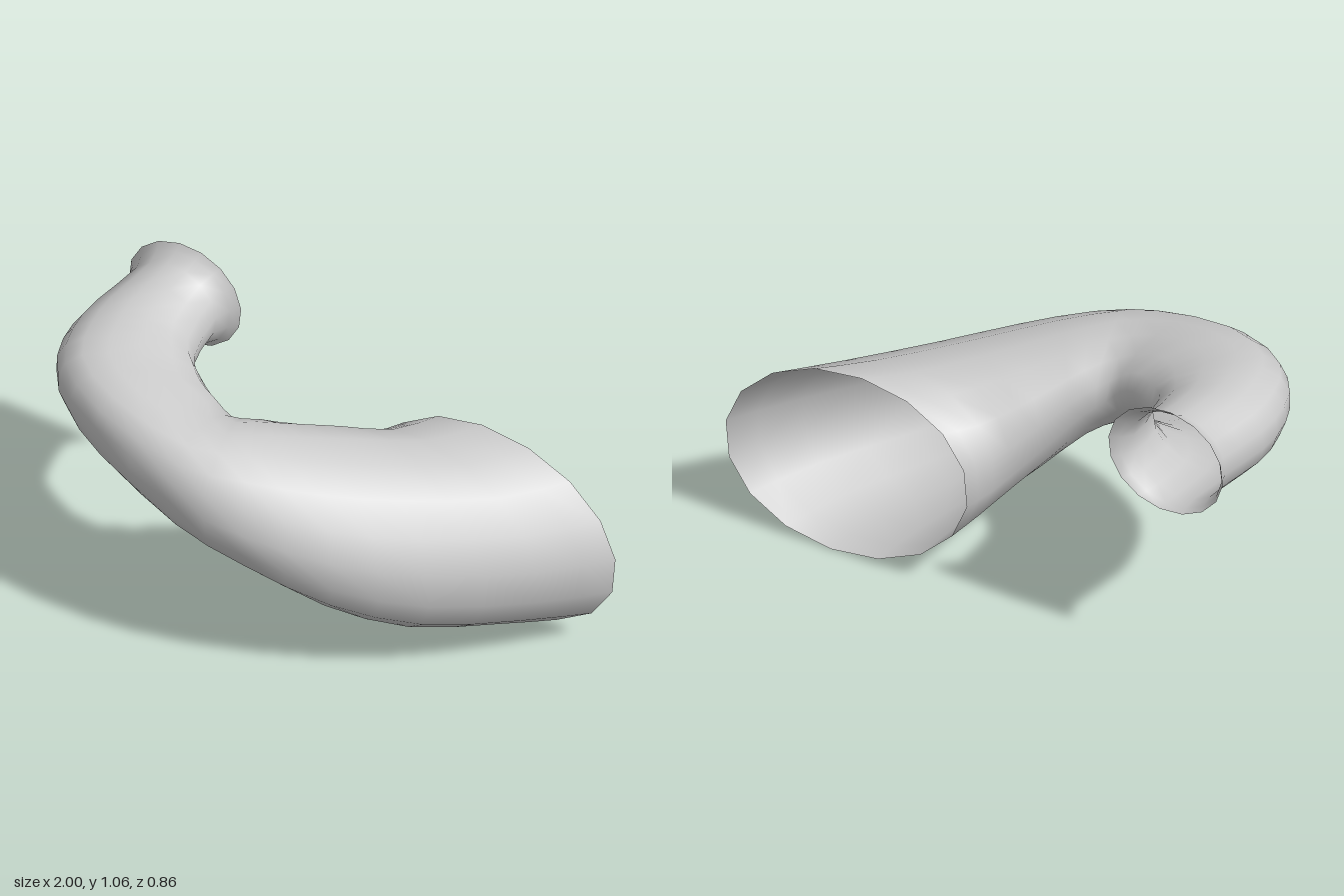
import * as THREE from 'three';

// Key cross-sections along the bend:
// inner x, inner z, outer x, outer z, top y, bottom y,
// lean (top shifts outward), tilt (outer edge rises), bulge (top and bottom shift outward)
const SECTIONS = [
  [-0.54, -0.43, -1.0, -0.43, 1.06, 0.635, 0.1, -0.025, 0.0],
  [-0.60, -0.36, -0.97, -0.36, 1.01, 0.66, 0.08, -0.02, 0.0],
  [-0.57, -0.17, -1.0, -0.14, 0.99, 0.64, 0.08, -0.01, 0.05],
  [-0.50, -0.10, -0.985, 0.04, 0.98, 0.63, 0.1, 0, 0.1],
  [-0.42, -0.05, -0.89, 0.21, 0.965, 0.61, 0.15, 0, 0.2],
  [-0.36, -0.035, -0.66, 0.35, 0.94, 0.575, 0.15, 0, 0.2],
  [-0.30, -0.03, -0.30, 0.43, 0.88, 0.50, 0, 0, 0.18],
  [-0.23, -0.07, -0.02, 0.40, 0.855, 0.41, -0.18, 0, 0.05],
  [-0.15, -0.14, 0.27, 0.27, 0.82, 0.255, -0.27, 0, 0],
  [-0.08, -0.23, 0.54, 0.07, 0.785, 0.135, -0.27, 0, 0],
  [-0.02, -0.33, 0.82, -0.20, 0.75, 0.065, -0.18, 0.01, 0],
  [0.03, -0.43, 1.0, -0.43, 0.77, 0.0, -0.13, 0.015, 0.0],
];
const SIDES = 16;
const STEPS = 2;

// Add smooth in-between sections
function refine(keys, steps) {
  const rows = [];
  const last = keys.length - 1;
  for (let n = 0; n <= last * steps; n++) {
    const i = Math.min(Math.floor(n / steps), last - 1);
    const t = n / steps - i;
    const a = keys[Math.max(i - 1, 0)], b = keys[i];
    const c = keys[i + 1], d = keys[Math.min(i + 2, last)];
    rows.push(b.map((v, k) => v + 0.5 * t * (c[k] - a[k]
      + t * (2 * a[k] - 5 * v + 4 * c[k] - d[k]
      + t * (3 * (v - c[k]) + d[k] - a[k])))));
  }
  return rows;
}

// Skin a row of upright rounded rings into an open tube
function loftTube(sections, sides) {
  const positions = [];
  const indices = [];
  sections.forEach(([ix, iz, ox, oz, top, bottom, lean, tilt, bulge], i) => {
    for (let j = 0; j < sides; j++) {
      const a = (j / sides) * Math.PI * 2;
      const c = Math.cos(a), s = Math.sin(a);
      const across = (c + lean * s + bulge * s * s) / 2;
      positions.push(
        (ix + ox) / 2 + across * (ox - ix),
        (top + bottom) / 2 + (s * (top - bottom)) / 2 + tilt * c,
        (iz + oz) / 2 + across * (oz - iz)
      );
      if (i === sections.length - 1) continue;
      const next = (j + 1) % sides;
      const p = i * sides + j, q = i * sides + next;
      indices.push(p, p + sides, q, q, p + sides, q + sides);
    }
  });
  const geometry = new THREE.BufferGeometry();
  geometry.setAttribute('position', new THREE.Float32BufferAttribute(positions, 3));
  geometry.setIndex(indices);
  geometry.computeVertexNormals();
  return geometry;
}

export function createModel() {
  const group = new THREE.Group();
  group.name = 'curvedDuct';
  // Bent tube, open at both ends, widening from the neck to the mouth
  const tube = new THREE.Mesh(
    loftTube(refine(SECTIONS, STEPS), SIDES),
    new THREE.MeshStandardMaterial({ color: 0xcccccc, side: THREE.DoubleSide })
  );
  tube.name = 'taperedBentTube';
  group.add(tube);
  return group;
}
